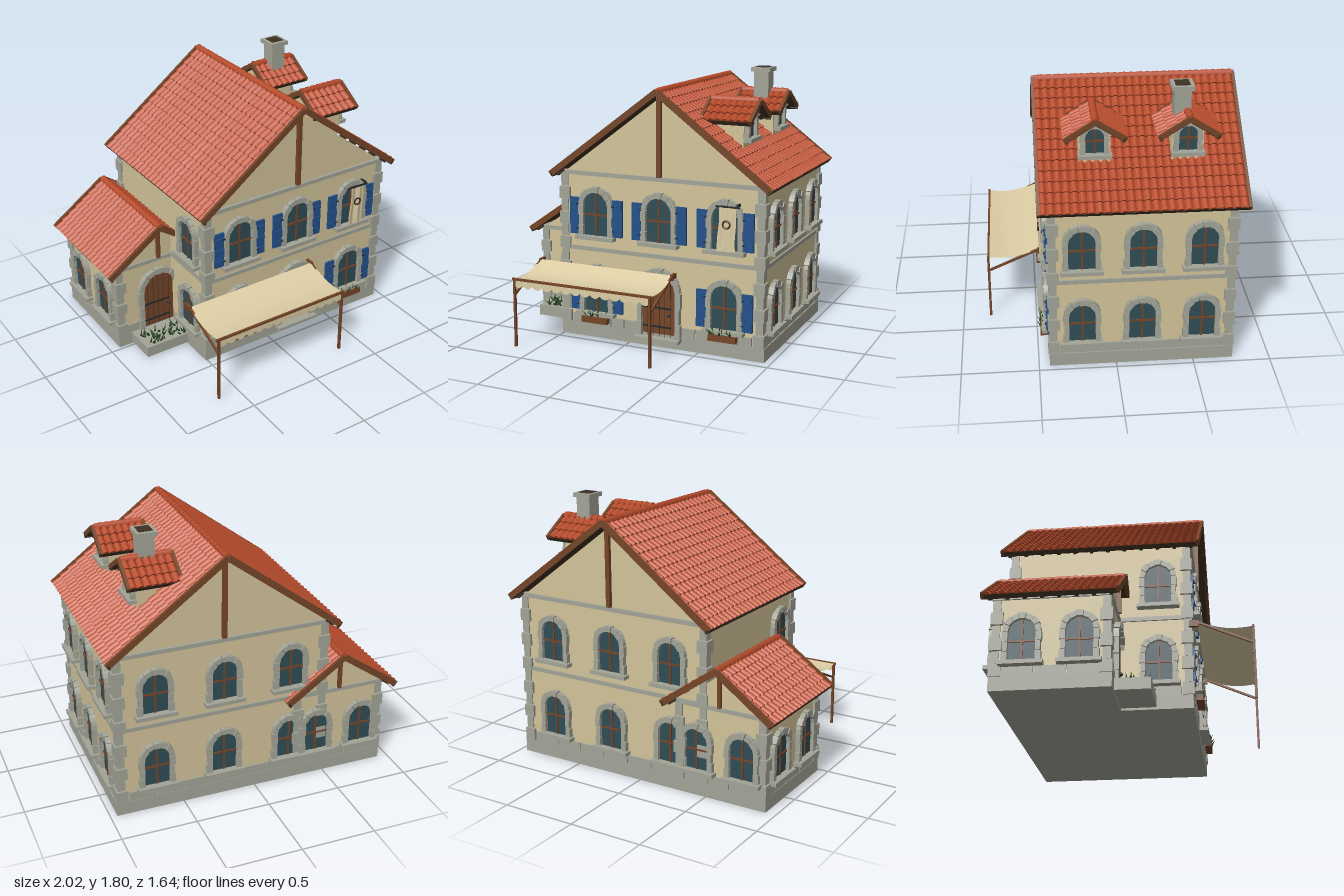
import * as THREE from 'three';
import { mergeGeometries, toCreasedNormals } from 'three/addons/utils/BufferGeometryUtils.js';

const mat = (name, color, side = THREE.FrontSide) => {
  const m = new THREE.MeshStandardMaterial({ color, side });
  m.name = name;
  return m;
};
const M = {
  wall: mat('plaster', 0xd3c49a), stone: mat('stone', 0xa3a497), tile: mat('roofTile', 0xb84c2c, THREE.DoubleSide),
  wood: mat('wood', 0x744528), dark: mat('darkWood', 0x3c3022), blue: mat('shutterBlue', 0x22508a),
  glass: mat('glass', 0x2f4c54), leaf: mat('leaf', 0x2e4a24), canvas: mat('canvas', 0xdccda4, THREE.DoubleSide),
  iron: mat('iron', 0x26292c),
};

// helpers
const box = (w, h, d, x = 0, y = 0, z = 0) => new THREE.BoxGeometry(w, h, d).translate(x, y, z);
const span = (x0, x1, y0, y1, z0, z1) => box(x1 - x0, y1 - y0, z1 - z0, (x0 + x1) / 2, (y0 + y1) / 2, (z0 + z1) / 2);
const merge = (list) => mergeGeometries(list.map((g) => (g.index ? g.toNonIndexed() : g)));
const extrude = (shape, depth) => new THREE.ExtrudeGeometry(shape, { depth, bevelEnabled: false, curveSegments: 10 });
const poly = (pts) => new THREE.Shape(pts.map((p) => new THREE.Vector2(...p)));
function add(parent, name, geo, material) {
  const m = new THREE.Mesh(Array.isArray(geo) ? merge(geo) : geo, material);
  m.name = name;
  parent.add(m);
  return m;
}
function group(parent, name, x = 0, y = 0, z = 0, ry = 0) {
  const g = new THREE.Group();
  g.name = name;
  g.position.set(x, y, z);
  g.rotation.y = ry;
  parent.add(g);
  return g;
}
let seed = 7;
const rnd = () => (seed = (seed * 16807) % 2147483647) / 2147483647;

// overlapping rows of barrel tiles on one slope; x runs down the slope, y is its normal
function tileSheet(L, len, rows, cols) {
  const pos = [], idx = [], n = cols * 6 + 1;
  for (let r = 0; r < rows; r++) {
    const s0 = (L * r) / rows, s1 = (L * (r + 1)) / rows + 0.006, start = pos.length / 3;
    for (const [x, y, k] of [[s0, 0.001, 1], [s1, 0.013, 1], [s1, 0, 0]])
      for (let i = 0; i < n; i++)
        pos.push(x, y + k * 0.018 * Math.sin((Math.PI * (i % 6)) / 6), len * (i / (n - 1) - 0.5));
    for (let l = 0; l < 2; l++)
      for (let i = 0; i < n - 1; i++) {
        const a = start + l * n + i, b = a + n;
        idx.push(a, a + 1, b, b, a + 1, b + 1);
      }
  }
  const g = new THREE.BufferGeometry();
  g.setAttribute('position', new THREE.Float32BufferAttribute(pos, 3));
  g.setIndex(idx);
  return toCreasedNormals(g, 0.7);
}

// gable roof with its ridge along z
function gableRoof(parent, half, rise, ridgeY, len, z, rows, cols, trim = 0.04) {
  const roof = group(parent, 'roof', 0, ridgeY, z);
  const L = Math.hypot(half, rise), angle = Math.atan2(rise, half);
  for (const ry of [0, Math.PI]) {
    const slope = group(group(roof, 'roofSide', 0, 0, 0, ry), 'slope');
    slope.rotation.z = -angle;
    add(slope, 'tiles', tileSheet(L, len - 0.03, rows, cols), M.tile);
    const under = [box(L, 0.014, len - 0.01, L / 2, -0.008, 0), box(0.014, 0.03, len, L, -0.004, 0)];
    const count = Math.round(len / 0.11);
    for (let i = 0; i < count; i++) under.push(box(0.06, 0.02, 0.02, L - 0.04, -0.02, len * ((i + 0.5) / count - 0.5)));
    add(slope, 'deckAndRafters', under, M.dark);
    add(slope, 'bargeBoards', [-1, 1].map((s) => box(L + 0.012, trim, 0.02, L / 2 + 0.003, 0.005, s * (len / 2 - 0.01))), M.wood);
  }
  const caps = [], n = Math.round(len / 0.055), step = (len - 0.04) / n;
  for (let i = 0; i < n; i++)
    caps.push(new THREE.CylinderGeometry(0.02, 0.025, step * 1.1, 10).rotateX(Math.PI / 2).translate(0, 0.008, (i + 0.5 - n / 2) * step));
  add(roof, 'ridgeCaps', caps, M.tile);
}

// arched opening: flat panel and separate frame stones
function archPanel(w, y0, top) {
  const r = w / 2, s = new THREE.Shape();
  s.moveTo(-r, y0).lineTo(r, y0).lineTo(r, top - r).absarc(0, top - r, r, 0, Math.PI, false);
  return s;
}
function archStones(w, y0, top, t, depth) {
  const r = w / 2, spring = top - r, out = [], n = 7, rows = 3, h = (spring - y0) / rows;
  for (let i = 0; i < n; i++) {
    const a = (Math.PI * (i + 0.03)) / n, b = (Math.PI * (i + 0.97)) / n, R = r + t * (i % 2 ? 1.12 : 1);
    const p = (q, c) => [q * Math.cos(c), spring + q * Math.sin(c)];
    out.push(extrude(poly([p(r, a), p(R, a), p(R, (a + b) / 2), p(R, b), p(r, b)]), depth + (i % 2 ? 0.005 : 0)));
  }
  for (const s of [-1, 1])
    for (let i = 0; i < rows; i++) {
      const wide = t * (i % 2 ? 0.9 : 1.1);
      out.push(box(wide, h * 0.96, depth, s * (r + wide / 2), y0 + h * (i + 0.5), depth / 2));
    }
  return out;
}
function windowParts(w, h, t) {
  const top = h - t, r = w / 2, mid = 0.025 + (top - 0.025) * 0.48;
  return [
    ['glass', extrude(archPanel(w, 0.02, top), 0.008), M.glass],
    ['frameStones', merge([...archStones(w, 0.025, top, t, 0.032), box(w + 2 * t + 0.035, 0.025, 0.055, 0, 0.0125, 0.0275)]), M.stone],
    ['glazingBars', merge([box(0.012, top - 0.025, 0.016, 0, (top + 0.025) / 2, 0.008), box(2 * r, 0.012, 0.016, 0, mid, 0.008)]), M.wood],
  ];
}
const bigWindow = windowParts(0.18, 0.355, 0.033), sideWindow = windowParts(0.17, 0.335, 0.033), dormerWindow = windowParts(0.115, 0.225, 0.03);
function addWindow(parent, parts, x, y, z, ry = 0) {
  const g = group(parent, 'window', x, y, z, ry);
  for (const [name, geo, m] of parts) add(g, name, geo, m);
  return g;
}
function addShutters(win) {
  for (const s of [-1, 1]) {
    add(win, 'shutter', [box(0.072, 0.25, 0.016, s * 0.158, 0.152, 0.012),
      ...[0.07, 0.152, 0.235].map((y) => box(0.064, 0.02, 0.01, s * 0.158, y, 0.022))], M.blue);
    add(win, 'shutterHinges', [0.07, 0.235].map((y) => box(0.02, 0.008, 0.006, s * 0.13, y, 0.029)), M.iron);
  }
}
function addDoor(parent, x, z) {
  const g = group(parent, 'door', x, 0.065, z);
  add(g, 'doorLeaf', extrude(archPanel(0.24, 0, 0.44), 0.01), M.wood);
  add(g, 'plankGaps', [-2, -1, 0, 1, 2].map((i) => box(0.003, 0.43 - i * i * 0.012, 0.002, i * 0.041, 0.213 - i * i * 0.006, 0.011)), M.dark);
  add(g, 'hingeStraps', [0.075, 0.205].map((y) => box(0.2, 0.012, 0.006, -0.015, y, 0.012)), M.iron);
  add(g, 'knob', new THREE.SphereGeometry(0.012, 10, 8).translate(0.075, 0.165, 0.02), M.iron);
  add(g, 'doorStones', archStones(0.24, 0, 0.44, 0.035, 0.034), M.stone);
  add(g, 'doorStep', box(0.32, 0.022, 0.07, 0, -0.003, 0.035), M.stone);
}
// alternating corner stones, stacked from the plinth upward
function quoins(parent, corners, y0, y1, n) {
  const list = [], h = (y1 - y0) / n;
  for (const [x, z, sx, sz] of corners)
    for (let i = 0; i < n; i++) {
      const out = i % 2 ? 0.009 : 0.018, size = (i % 2 ? 0.042 : 0.058) + out;
      list.push(box(size, h * 0.95, size, x + sx * (out - size / 2), y0 + h * (i + 0.5), z + sz * (out - size / 2)));
    }
  add(parent, 'cornerStones', list, M.stone);
}
function leaves(parent, n, x0, x1, y, z0, z1, size) {
  const list = [];
  for (let i = 0; i < n; i++)
    list.push(new THREE.ConeGeometry(size * 0.16, size, 4).translate(0, size / 2, 0).rotateX((rnd() - 0.5) * 1.5).rotateZ((rnd() - 0.5) * 1.5)
      .translate(x0 + (x1 - x0) * rnd(), y, z0 + (z1 - z0) * rnd()));
  add(parent, 'leaves', list, M.leaf);
}

export function createModel() {
  const model = new THREE.Group();
  model.name = 'house';
  const cx = 0.22, ax = -0.6, P = Math.PI;
  const F = 0.42, B = -0.745, R = 0.935, Lx = -0.495, AF = -0.035, AL = -0.915, AR = -0.285;

  // plinth and walls
  add(model, 'plinth', [span(-0.51, 0.955, 0, 0.09, -0.76, 0.43), span(-0.93, -0.5, 0, 0.09, -0.76, -0.02)], M.stone);
  const house = (x0, x1, eave, apex, mid, z0, z1) =>
    extrude(poly([[x0, 0.08], [x1, 0.08], [x1, eave], [mid, apex], [x0, eave]]), z1 - z0).translate(0, 0, z0);
  add(model, 'mainWalls', house(Lx, R, 1.12, 1.66, cx, B, F), M.wall);
  add(model, 'annexWalls', house(AL, AR, 0.6, 0.835, ax, B - 0.004, AF), M.wall);
  add(model, 'stringCourses', [span(Lx - 0.012, R + 0.012, 0.603, 0.63, B - 0.012, F + 0.012),
    span(AL - 0.012, AR + 0.012, 0.595, 0.622, B - 0.016, AF + 0.012)], M.stone);
  add(model, 'cornice', [span(Lx - 0.014, R + 0.014, 1.118, 1.145, F - 0.02, F + 0.02), span(Lx - 0.014, R + 0.014, 1.118, 1.145, B - 0.02, B + 0.02)], M.stone);
  quoins(model, [[Lx, F, -1, 1], [R, F, 1, 1], [R, B, 1, -1], [Lx, B, -1, -1]], 0.09, 1.118, 12);
  quoins(model, [[AL, AF, -1, 1], [AL, B, -1, -1], [AR, B - 0.004, 1, -1]], 0.09, 0.595, 6);

  // row of base stones
  const base = [];
  const row = (a, b, n, put) => { for (let i = 0; i < n; i++) put(a + ((b - a) * i) / n + 0.003, a + ((b - a) * (i + 1)) / n - 0.003); };
  const alongX = (z) => (a, b) => base.push(span(a, b, 0.09, 0.152, z - 0.012, z + 0.012));
  const alongZ = (x) => (a, b) => base.push(span(x - 0.012, x + 0.012, 0.09, 0.152, a, b));
  row(-0.43, 0.06, 5, alongX(F));
  row(0.38, 0.87, 5, alongX(F));
  row(-0.86, -0.75, 1, alongX(AF));
  row(-0.86, 0.87, 9, alongX(B));
  row(-0.69, 0.36, 4, alongZ(R));
  row(-0.69, -0.09, 3, alongZ(AL));
  row(0, 0.36, 2, alongZ(Lx));
  add(model, 'baseStones', base, M.stone);

  // windows and doors
  for (const x of [-0.24, 0.22, 0.68]) {
    addShutters(addWindow(model, bigWindow, x, 0.688, F));
    if (x !== 0.22) {
      addShutters(addWindow(model, bigWindow, x, 0.16, F));
      add(model, 'flowerBox', box(0.19, 0.042, 0.045, x, 0.135, F + 0.04), M.wood);
      leaves(model, 16, x - 0.08, x + 0.08, 0.155, F + 0.03, F + 0.055, 0.055);
    }
    for (const y of [0.155, 0.685]) addWindow(model, sideWindow, x, y, B, P);
  }
  for (const y of [0.155, 0.685]) {
    for (const z of [0.218, -0.165, -0.548]) addWindow(model, sideWindow, R, y, z, P / 2);
    addWindow(model, sideWindow, Lx, y, 0.218, -P / 2);
  }
  for (const s of [-1, 1]) {
    addWindow(model, sideWindow, ax + s * 0.165, 0.155, B - 0.004, P);
    addWindow(model, sideWindow, AL, 0.155, -0.39 + s * 0.175, -P / 2);
  }
  addDoor(model, cx, F);
  addDoor(model, ax - 0.01, AF);

  // roofs and gable posts
  gableRoof(group(model, 'mainRoof', cx), 0.765, 0.575, 1.695, 1.31, -0.165, 13, 26);
  gableRoof(group(model, 'annexRoof', ax), 0.385, 0.27, 0.867, 0.85, -0.395, 7, 17);
  add(model, 'gablePosts', [span(cx - 0.015, cx + 0.015, 1.145, 1.68, F, F + 0.025), span(cx - 0.015, cx + 0.015, 1.145, 1.68, B - 0.025, B),
    span(ax - 0.012, ax + 0.012, 0.62, 0.855, AF, AF + 0.025), span(ax - 0.012, ax + 0.012, 0.62, 0.855, B - 0.025, B)], M.wood);

  // dormers, facing +x
  for (const z of [0.12, -0.455]) {
    const d = group(model, 'dormer', 0, 0, z, P / 2);
    add(d, 'dormerWalls', extrude(poly([[-0.1, 1.3], [0.1, 1.3], [0.1, 1.535], [0, 1.6], [-0.1, 1.535]]), 0.265).translate(0, 0, 0.45), M.wall);
    addWindow(d, dormerWindow, 0, 1.375, 0.715);
    gableRoof(d, 0.18, 0.115, 1.628, 0.36, 0.62, 3, 7, 0.03);
  }

  // chimney
  const ch = group(model, 'chimney', 0.617, 0, -0.425);
  add(ch, 'shaftAndCap', [span(-0.052, 0.052, 1.4, 1.775, -0.052, 0.052), span(-0.068, 0.068, 1.772, 1.8, -0.07, 0.07)], M.stone);
  add(ch, 'flue', box(0.09, 0.006, 0.09, 0, 1.801, 0), M.dark);

  // awning with sagging cloth and scalloped edge
  const aw = group(model, 'awning'), x0 = -0.655, x1 = 0.335;
  const cloth = new THREE.PlaneGeometry(x1 - x0, 1, 1, 8), p = cloth.attributes.position;
  for (let i = 0; i < p.count; i++) {
    const t = 0.5 - p.getY(i);
    p.setXYZ(i, p.getX(i) + (x0 + x1) / 2, 0.515 - 0.05 * t - 0.03 * Math.sin(P * t), 0.47 + 0.345 * t);
  }
  cloth.computeVertexNormals();
  add(aw, 'cloth', cloth, M.canvas);
  const edge = new THREE.Shape(), n = 14, w = (x1 - x0) / n;
  edge.moveTo(x1, 0.465).lineTo(x0, 0.465).lineTo(x0, 0.425);
  for (let i = 0; i < n; i++) edge.quadraticCurveTo(x0 + w * (i + 0.5), 0.385, x0 + w * (i + 1), 0.425);
  add(aw, 'valance', new THREE.ShapeGeometry(edge, 5).translate(0, 0, 0.818), M.canvas);
  const bars = [span(x0 - 0.012, x1 + 0.012, 0.455, 0.47, 0.806, 0.82)];
  for (const x of [x0 + 0.005, x1 - 0.005]) {
    bars.push(span(x - 0.008, x + 0.008, 0, 0.47, 0.806, 0.822));
    bars.push(box(0.014, 0.014, 0.4, 0, 0, 0).rotateX(0.415).translate(x, 0.436, 0.637));
    bars.push(span(x - 0.01, x + 0.01, 0.48, 0.52, F, 0.48));
  }
  add(aw, 'posts', bars, M.wood);

  // planted step beside the annex door
  add(model, 'plantedBed', span(-0.83, -0.49, 0.015, 0.09, -0.03, 0.2), M.stone);
  leaves(model, 50, -0.8, -0.52, 0.088, 0.05, 0.18, 0.055);

  // hanging banner
  const bn = group(model, 'banner', 0.703, 0.85, F + 0.048);
  const flag = new THREE.PlaneGeometry(0.125, 0.3, 12, 6), f = flag.attributes.position;
  for (let i = 0; i < f.count; i++) {
    const x = f.getX(i), y = f.getY(i);
    f.setXYZ(i, x * (0.92 - y * 0.3) + 0.006 * Math.sin(y * 18), y, 0.006 * Math.sin(x * 90));
  }
  flag.computeVertexNormals();
  add(bn, 'bannerCloth', flag, M.canvas);
  add(bn, 'bannerRod', [box(0.16, 0.01, 0.01, 0.005, 0.153, 0), box(0.014, 0.014, 0.05, 0.07, 0.165, -0.022)], M.iron);
  add(bn, 'bannerRing', new THREE.TorusGeometry(0.024, 0.006, 6, 20).translate(0, 0.04, 0.01), M.dark);
  return model;
}
